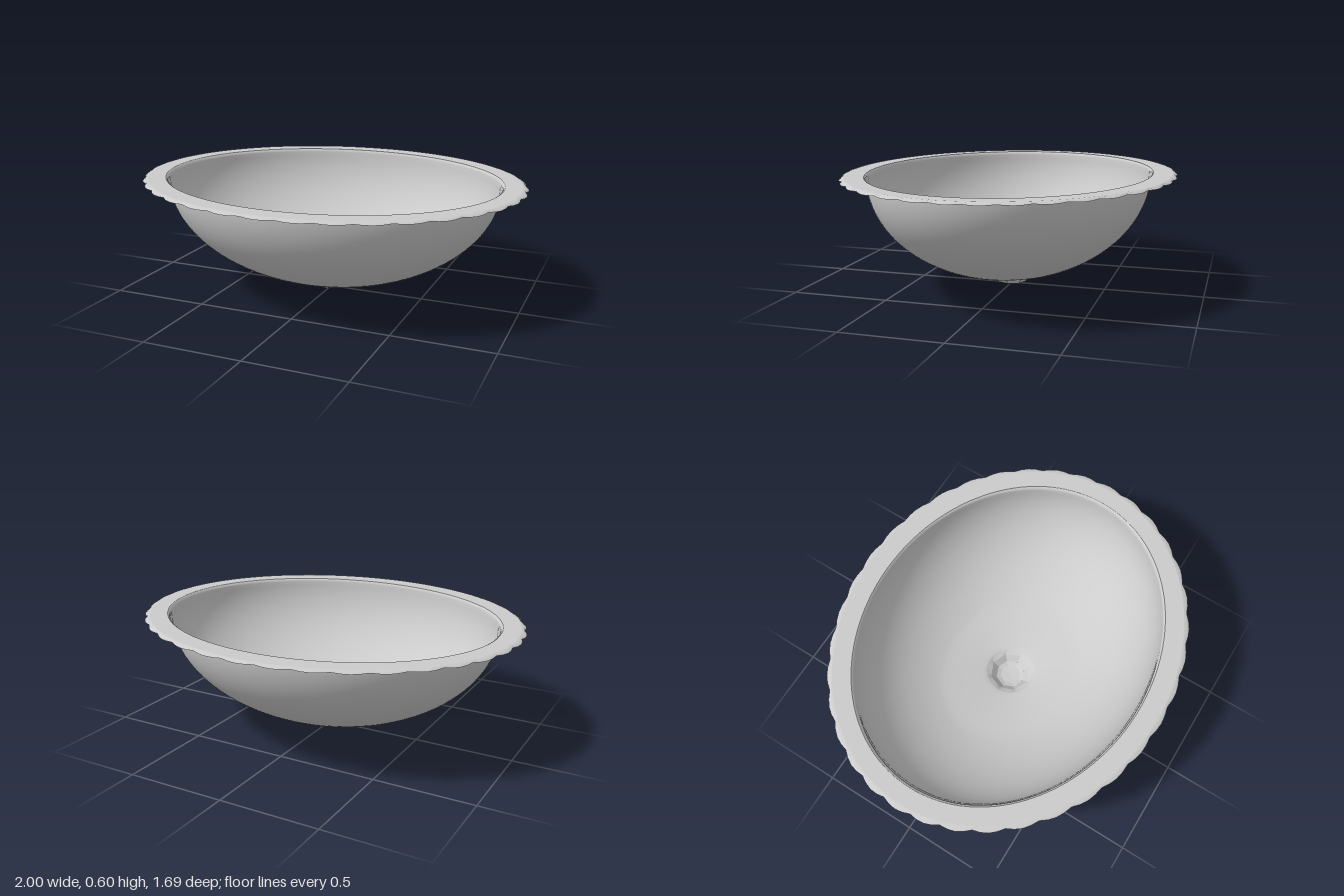
import * as THREE from 'three';

const SEGMENTS = 144;
const SCALLOPS = 36;

// Skin a list of rings (outermost first); ring(a) gives the point at angle a.
function loft(rings) {
  const positions = [], index = [];
  for (const ring of rings) {
    for (let i = 0; i < SEGMENTS; i++) positions.push(...ring((i / SEGMENTS) * Math.PI * 2));
  }
  for (let r = 0; r < rings.length - 1; r++) {
    for (let i = 0; i < SEGMENTS; i++) {
      const j = (i + 1) % SEGMENTS;
      const a = r * SEGMENTS + i, b = r * SEGMENTS + j;
      const c = a + SEGMENTS, d = b + SEGMENTS;
      index.push(a, c, b, b, c, d);
    }
  }
  const geometry = new THREE.BufferGeometry();
  geometry.setAttribute('position', new THREE.Float32BufferAttribute(positions, 3));
  geometry.setIndex(index);
  geometry.computeVertexNormals();
  return geometry;
}

const oval = (rx, rz, y) => (a) => [rx * Math.cos(a), y, rz * Math.sin(a)];

// Oval with a wavy outline, its crests drooping slightly.
const scalloped = (rx, rz, y, depth, droop) => (a) => {
  const wave = Math.abs(Math.cos((a * SCALLOPS) / 2));
  const k = 1 - depth * (1 - wave);
  return [rx * k * Math.cos(a), y - droop * wave, rz * k * Math.sin(a)];
};

// Regular octagon ring for the drain.
const octagon = (radius, y) => (a) => {
  const step = Math.PI / 4;
  const local = (a % step) - step / 2;
  const r = (radius * Math.cos(step / 2)) / Math.cos(local);
  return [r * Math.cos(a), y, r * Math.sin(a)];
};

export function createModel() {
  const group = new THREE.Group();
  const add = (name, geometry, flatShading = false) => {
    const material = new THREE.MeshStandardMaterial({
      color: 0xcccccc, side: THREE.DoubleSide, flatShading,
    });
    const mesh = new THREE.Mesh(geometry, material);
    mesh.name = name;
    group.add(mesh);
  };

  // Flat oval flange
  add('flange', loft([oval(0.97, 0.818, 0.6), oval(0.885, 0.722, 0.6)]));

  // Thin drooping scalloped lip around the flange
  add('scallopedLip', loft([
    scalloped(1.0, 0.845, 0.591, 0.014, 0.003),
    scalloped(0.988, 0.834, 0.598, 0.006, 0.001),
    oval(0.97, 0.818, 0.6),
  ]));

  // Half-ellipsoid bowl, narrowing to the round edge of the drain
  const bowlRings = [oval(0.885, 0.722, 0.6), oval(0.876, 0.715, 0.594)];
  const steps = 32, last = Math.asin(0.14);
  for (let i = 0; i <= steps; i++) {
    const t = THREE.MathUtils.lerp(Math.PI / 2 - 0.03, last, i / steps);
    const s = Math.sin(t);
    const round = Math.pow(1 - i / steps, 0.5);
    const rx = THREE.MathUtils.lerp(0.125, 0.872 * s, Math.min(1, round * 2));
    const rz = THREE.MathUtils.lerp(0.125, 0.713 * s, Math.min(1, round * 2));
    bowlRings.push(oval(rx, rz, 0.6 - 0.545 * Math.cos(t)));
  }
  add('bowl', loft(bowlRings));

  // Faceted drain recess with a closed floor
  const drainTop = 0.6 - 0.545 * Math.cos(last);
  add('drain', loft([
    oval(0.125, 0.125, drainTop),
    octagon(0.108, 0.046),
    octagon(0.078, 0.012),
    octagon(0.055, 0.004),
    oval(0.001, 0.001, 0),
  ]), true);

  return group;
}
